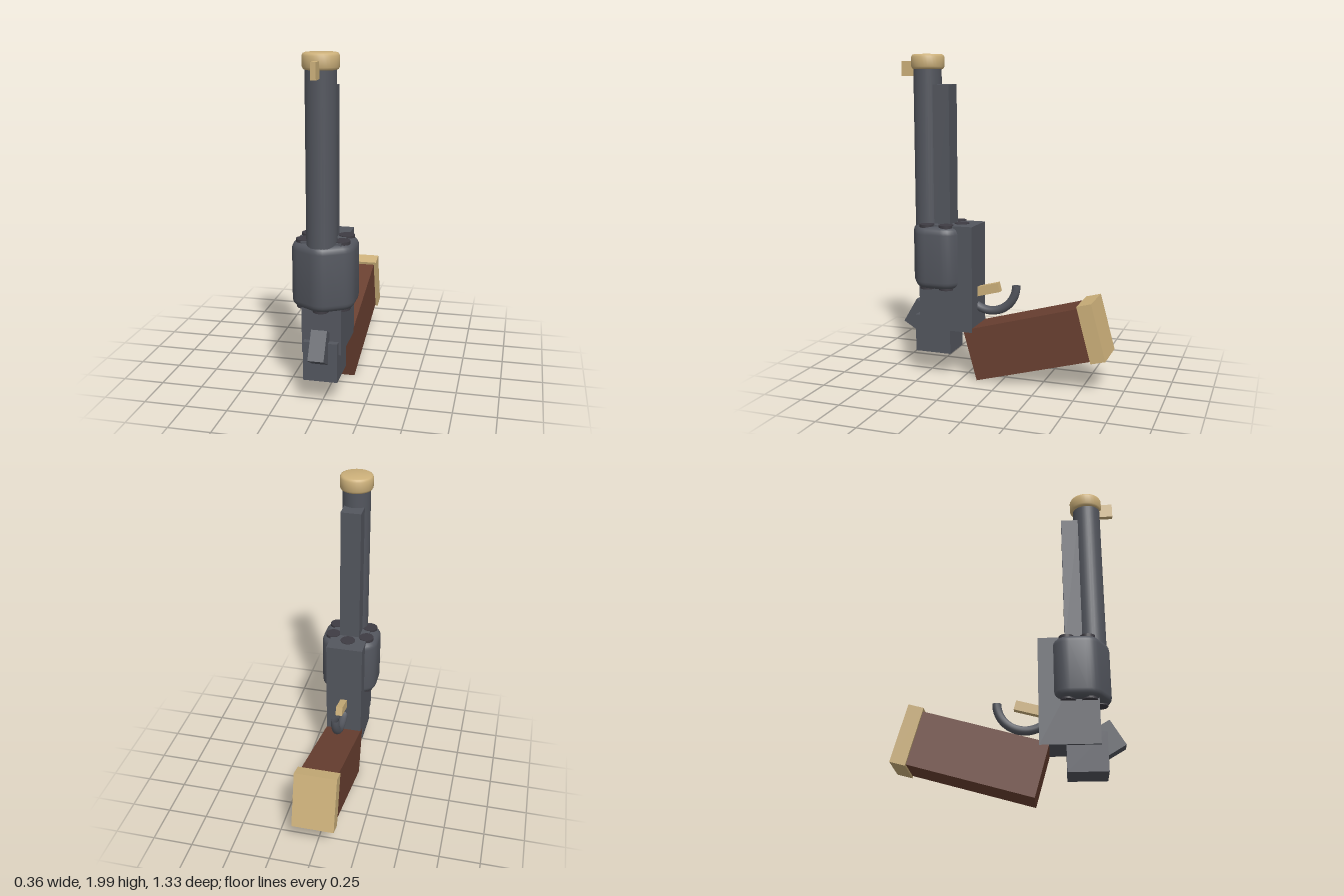
import * as THREE from 'three';
import { toCreasedNormals } from 'three/addons/utils/BufferGeometryUtils.js';

function material(name, color) {
  const m = new THREE.MeshStandardMaterial({ color });
  m.name = name;
  return m;
}

export function createModel() {
  const group = new THREE.Group();
  const metal = material('gunmetal', 0x53565e);
  metal.side = THREE.DoubleSide; // the guard tube is open at its tip
  const dark = material('dark steel', 0x3e3c43);
  const brass = material('brass', 0xccb07a);
  const wood = material('walnut', 0x6a4031);

  function add(name, geometry, mat, x, y, z, tilt = 0) {
    const mesh = new THREE.Mesh(geometry, mat);
    mesh.name = name;
    mesh.position.set(x, y, z);
    mesh.rotation.x = tilt;
    group.add(mesh);
    return mesh;
  }
  const box = (name, mat, w, h, d, y, z, tilt) =>
    add(name, new THREE.BoxGeometry(w, h, d), mat, 0, y, z, tilt);

  // Barrel with the rib behind it
  add('barrel', new THREE.CylinderGeometry(0.086, 0.086, 1.0, 32), metal, 0, 1.44, 0.503);
  box('barrelRib', metal, 0.125, 0.87, 0.107, 1.385, 0.392);

  // Rounded muzzle ring and sight
  const ring = [[0, 0], [0.085, 0], [0.095, 0.004], [0.101, 0.016], [0.101, 0.074],
    [0.095, 0.086], [0.085, 0.09], [0, 0.09]].map(([r, y]) => new THREE.Vector2(r, y));
  add('muzzleRing', toCreasedNormals(new THREE.LatheGeometry(ring, 32), 0.9), brass, 0, 1.91, 0.5);
  box('frontSight', brass, 0.03, 0.092, 0.12, 1.915, 0.61);

  // Frame, lower block and hammer
  box('frame', metal, 0.23, 0.66, 0.35, 0.64, 0.352);
  box('lowerBlock', metal, 0.2, 0.235, 0.233, 0.272, 0.447);
  box('hammer', metal, 0.092, 0.175, 0.15, 0.361, 0.561, -0.535);

  // Six-sided drum with softened corners
  const bevel = 0.045, apothem = 0.18 - bevel, radius = apothem / Math.cos(Math.PI / 6);
  const corner = (i) => new THREE.Vector2(
    radius * Math.sin(i * Math.PI / 3), radius * Math.cos(i * Math.PI / 3));
  const hex = new THREE.Shape();
  for (let i = 0; i < 6; i++) {
    const c = corner(i);
    const a = c.clone().lerp(corner(i + 5), 0.2);
    const b = c.clone().lerp(corner(i + 1), 0.2);
    if (i === 0) hex.moveTo(a.x, a.y); else hex.lineTo(a.x, a.y);
    hex.quadraticCurveTo(c.x, c.y, b.x, b.y);
  }
  hex.closePath();
  const drum = new THREE.ExtrudeGeometry(hex, {
    depth: 0.385 - 2 * bevel, bevelSize: bevel, bevelThickness: bevel,
    bevelSegments: 5, curveSegments: 4,
  });
  drum.rotateX(-Math.PI / 2);
  add('drum', toCreasedNormals(drum, 0.7), metal, 0, 0.577 + bevel, 0.41);

  // Chambers showing at both ends of the drum
  for (let i = 0; i < 6; i++) {
    const a = i * Math.PI / 3;
    add('chamber', new THREE.CylinderGeometry(0.046, 0.046, 0.404, 24), dark,
      0.125 * Math.sin(a), 0.772, 0.41 + 0.125 * Math.cos(a));
  }

  // Trigger and its curved guard
  box('trigger', brass, 0.042, 0.058, 0.2, 0.561, 0.134, 0.262);
  const guard = new THREE.TorusGeometry(0.168, 0.027, 12, 32, Math.PI);
  guard.rotateZ(Math.PI);
  guard.rotateY(Math.PI / 2);
  add('triggerGuard', guard, metal, 0, 0.6, 0.098);

  // Grip and butt plate
  box('grip', wood, 0.23, 0.324, 0.749, 0.266, -0.168, 0.272);
  box('buttPlate', brass, 0.26, 0.352, 0.092, 0.381, -0.571, 0.262);

  return group;
}
